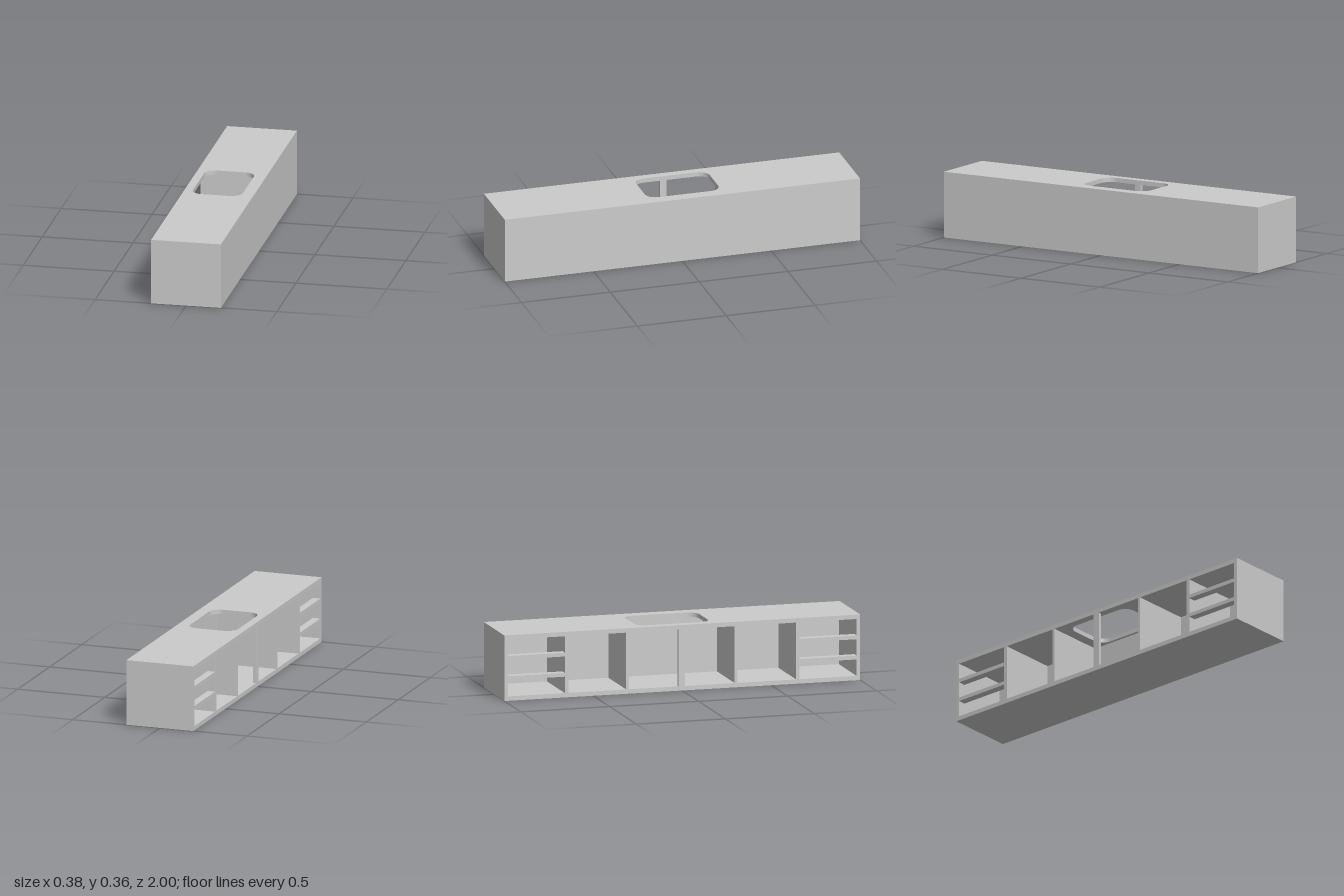
import * as THREE from 'three';

const X0 = -0.192, X1 = 0.192, H = 0.36, T = 0.024; // open side, closed side, height, board
const BACK = 0.142; // inner face of the closed long side

export function createModel() {
  const group = new THREE.Group();
  const material = new THREE.MeshStandardMaterial({ color: 0xcccccc, flatShading: true });

  const add = (name, geometry) => {
    const mesh = new THREE.Mesh(geometry, material);
    mesh.name = name;
    group.add(mesh);
    return mesh;
  };
  // box given by its limits on each axis
  const board = (name, x0, x1, y0, y1, z0, z1) =>
    add(name, new THREE.BoxGeometry(x1 - x0, y1 - y0, z1 - z0))
      .position.set((x0 + x1) / 2, (y0 + y1) / 2, (z0 + z1) / 2);

  // worktop with a rounded sink cutout (shape y becomes -z)
  const top = new THREE.Shape();
  top.moveTo(X0, -1).lineTo(X1, -1).lineTo(X1, 1).lineTo(X0, 1).closePath();
  const [l, r, b, t, c] = [-0.147, 0.127, -0.174, 0.24, 0.06];
  const hole = new THREE.Path();
  hole.moveTo(l + c, b);
  hole.absarc(r - c, b + c, c, -Math.PI / 2, 0);
  hole.absarc(r - c, t - c, c, 0, Math.PI / 2);
  hole.absarc(l + c, t - c, c, Math.PI / 2, Math.PI);
  hole.absarc(l + c, b + c, c, Math.PI, Math.PI * 1.5);
  top.holes.push(hole);
  const topGeometry = new THREE.ExtrudeGeometry(top, { depth: T, bevelEnabled: false, curveSegments: 10 });
  topGeometry.rotateX(-Math.PI / 2);
  add('worktop', topGeometry).position.y = H - T;

  // carcass
  board('floor', X0, X1, 0, T, -1, 1);
  board('backPanel', BACK, X1, T, H - T, -1, 1);
  board('endPanelRear', X0, BACK, T, H - T, -1, -0.98);
  board('endPanelFront', X0, BACK, T, H - T, 0.98, 1);

  // full-depth partitions
  for (const [z0, z1] of [[-0.66, -0.64], [-0.315, -0.3], [0.295, 0.31], [0.64, 0.66]]) {
    board('partition', X0, BACK, T, H - T, z0, z1);
  }

  // shallow post between the two sink doors
  board('centrePost', X0, X0 + 0.018, T, H - T, -0.022, 0.015);

  // drawer rails in both end bays
  const rail = 0.021, gap = (H - 2 * T - 2 * rail) / 3;
  for (const [z0, z1] of [[-0.98, -0.66], [0.66, 0.98]]) {
    for (let i = 0; i < 2; i++) {
      const y = T + gap + i * (gap + rail);
      board('drawerRail', X0, X0 + 0.043, y, y + rail, z0, z1);
    }
  }
  return group;
}
